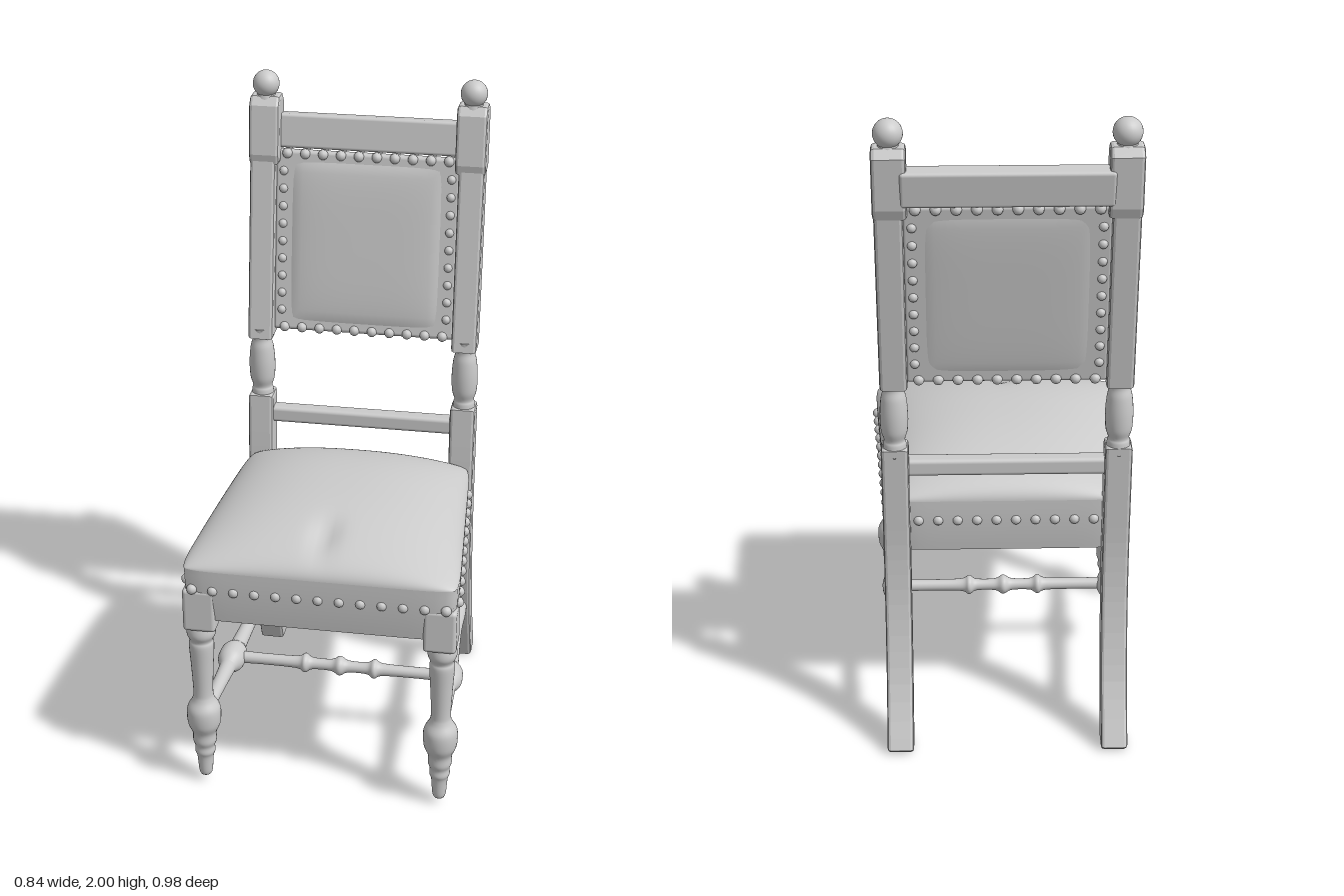
import * as THREE from 'three';
import { RoundedBoxGeometry } from 'three/addons/geometries/RoundedBoxGeometry.js';

const material = new THREE.MeshStandardMaterial({ color: 0xcccccc });
const leather = new THREE.MeshStandardMaterial({ color: 0xcccccc, side: THREE.DoubleSide });
const V = (x, y, z) => new THREE.Vector3(x, y, z);

function add(parent, name, geometry, x = 0, y = 0, z = 0, mat = material) {
  const mesh = new THREE.Mesh(geometry, mat);
  mesh.name = name;
  mesh.position.set(x, y, z);
  parent.add(mesh);
  return mesh;
}

// Smooth sheet: fn(u, v) gives the point, with u and v from -1 to 1
function sheet(fn, nu, nv) {
  const g = new THREE.PlaneGeometry(2, 2, nu, nv);
  const p = g.attributes.position;
  for (let i = 0; i < p.count; i++) p.setXYZ(i, ...fn(p.getX(i), p.getY(i)));
  g.computeVertexNormals();
  return g;
}

// Turned part from [radius, height] pairs, smoothed by a spline
function turned(points, smooth = 40) {
  const curve = new THREE.SplineCurve(points.map(([r, y]) => new THREE.Vector2(r, y)));
  const profile = curve.getPoints(smooth);
  const first = points[0], last = points[points.length - 1];
  return new THREE.LatheGeometry(
    [new THREE.Vector2(0, first[1]), ...profile, new THREE.Vector2(0, last[1])], 24);
}

// Turned rod lying between two points
function rod(parent, name, from, to, points) {
  const length = from.distanceTo(to);
  const mesh = add(parent, name, turned(points.map(([r, t]) => [r, t * length]), 80), from.x, from.y, from.z);
  mesh.quaternion.setFromUnitVectors(V(0, 1, 0), to.clone().sub(from).normalize());
}

// Side outline of [z, y] points given a width along x
function sideCut(shape, width) {
  const b = 0.01;
  const g = new THREE.ExtrudeGeometry(shape, {
    depth: width - 2 * b, bevelEnabled: true, bevelSize: b, bevelThickness: b,
    bevelOffset: -b, bevelSegments: 2, curveSegments: 16,
  });
  g.translate(0, 0, -width / 2 + b);
  return g.rotateY(Math.PI / 2);
}

function outline(points) {
  return new THREE.Shape(points.map(([z, y]) => new THREE.Vector2(-z, y)));
}

function nails(parent, from, to, count, radius = 0.016) {
  const g = new THREE.SphereGeometry(radius, 10, 8);
  for (let i = 0; i < count; i++) {
    const p = from.clone().lerp(to, count > 1 ? i / (count - 1) : 0);
    add(parent, 'nail', g, p.x, p.y, p.z);
  }
}

// Seat plan: narrower at the back, with eased corners
const halfWidth = z => 0.376 + 0.075 * z;
function plan(u, v, inset = 0) {
  const corner = 1 - 0.035 * Math.pow(Math.abs(u * v), 10);
  const z = 0.092 + (0.392 - inset) * v * corner;
  return [(halfWidth(z) - inset) * u * corner, z];
}

// Walk round the square plan, t from 0 to 1
function edge(t) {
  const s = (t * 4) % 4, side = Math.floor(s), f = (s - side) * 2 - 1;
  return [[f, 1], [1, -f], [-f, -1], [-1, f]][side];
}

function buildSeat(chair) {
  const seat = new THREE.Group();
  seat.name = 'seat';
  chair.add(seat);

  // Domed cushion with a small pull at the front middle
  const ease = a => Math.sin(a * Math.PI / 2);
  add(seat, 'cushion', sheet((a, b) => {
    const u = ease(a), v = -ease(b);
    const [x, z] = plan(u, v);
    const dome = Math.pow(Math.max(0, (1 - Math.abs(u) ** 2.3) * (1 - Math.abs(v) ** 2.3)), 0.55);
    const pull = 0.02 * Math.exp(-((x / 0.035) ** 2) - ((z - 0.36) / 0.07) ** 2);
    return [x, 0.77 + 0.123 * dome - pull, z];
  }, 56, 56), 0, 0, 0, leather);

  // Upholstered sides running down to the rails
  add(seat, 'seatSides', sheet((a, b) => {
    const [u, v] = edge((a + 1) / 2);
    const h = (b + 1) / 2;
    const [x, z] = plan(u, v, 0.012 * (1 - h) ** 2);
    return [x, 0.6 + 0.17 * h, z];
  }, 96, 8), 0, 0, 0, leather);

  // Sagging underside with two lobes
  add(seat, 'underside', sheet((u, v) => {
    const [x, z] = plan(u, v, 0.012);
    const sag = (1 - u ** 4) * (1 - v ** 4);
    const lobes = 0.03 + 0.014 * (1 - Math.cos(x * 20)) / 2 - 0.012 * Math.cos((z - 0.03) * 16);
    return [x, 0.6 - sag * lobes, z];
  }, 28, 28), 0, 0, 0, leather);

  // Nail rows
  const y = 0.705;
  nails(seat, V(-0.375, y, 0.477), V(0.375, y, 0.477), 13);
  nails(seat, V(-0.26, y, -0.294), V(0.26, y, -0.294), 10);
  for (const s of [-1, 1]) {
    nails(seat, V(s * (halfWidth(0.42) - 0.004), y, 0.42), V(s * (halfWidth(-0.24) - 0.004), y, -0.24), 12);
  }
}

function buildFrontLeg(chair, s) {
  const leg = new THREE.Group();
  leg.name = s > 0 ? 'leftFrontLeg' : 'rightFrontLeg';
  chair.add(leg);
  add(leg, 'legBlock', new RoundedBoxGeometry(0.098, 0.14, 0.096, 3, 0.012), s * 0.357, 0.63, 0.433);
  add(leg, 'turnedLeg', turned([
    [0.016, 0.025], [0.021, 0.04], [0.025, 0.09], [0.031, 0.11], [0.03, 0.13], [0.036, 0.15],
    [0.037, 0.18], [0.05, 0.215], [0.051, 0.265], [0.034, 0.3], [0.03, 0.33], [0.034, 0.42],
    [0.038, 0.49], [0.035, 0.51], [0.043, 0.53], [0.043, 0.55], [0.036, 0.58],
  ], 90), s * 0.362, 0, 0.433);
}

function buildBackPost(chair, s) {
  const post = new THREE.Group();
  post.name = s > 0 ? 'leftBackPost' : 'rightBackPost';
  chair.add(post);

  // Swept lower leg
  const front = [[-0.41, 0], [-0.335, 0.2], [-0.292, 0.4], [-0.276, 0.6], [-0.28, 0.8], [-0.29, 0.975]];
  const back = [[-0.37, 0.975], [-0.358, 0.8], [-0.348, 0.6], [-0.362, 0.4], [-0.408, 0.2], [-0.49, 0.015]];
  const curve = pts => new THREE.SplineCurve(pts.map(p => new THREE.Vector2(...p)))
    .getPoints(20).map(p => [p.x, p.y]);
  add(post, 'backLeg', sideCut(outline([...curve(front), ...curve(back), [-0.475, 0]]), 0.08), s * 0.324);

  // Turned neck above the seat
  add(post, 'turnedNeck', turned([
    [0.036, 0.95], [0.034, 0.985], [0.031, 1.0], [0.039, 1.03], [0.041, 1.08],
    [0.037, 1.13], [0.03, 1.16], [0.033, 1.18], [0.036, 1.2],
  ], 50), s * 0.324, 0, -0.333);

  // Leaning upper post, head block and ball
  add(post, 'upperPost', sideCut(outline([
    [-0.296, 1.17], [-0.385, 1.76], [-0.46, 1.76], [-0.374, 1.17],
  ]), 0.08), s * 0.322);
  add(post, 'headBlock', sideCut(outline([
    [-0.382, 1.72], [-0.376, 1.75], [-0.395, 1.9], [-0.415, 1.925], [-0.465, 1.925],
    [-0.483, 1.9], [-0.468, 1.75], [-0.456, 1.72],
  ]), 0.094), s * 0.318);
  add(post, 'finial', new THREE.SphereGeometry(0.041, 24, 18), s * 0.318, 1.959, -0.438);
  add(post, 'finialNeck', new THREE.CylinderGeometry(0.025, 0.032, 0.03, 20), s * 0.318, 1.925, -0.438);
}

function buildBackPanel(chair) {
  const panel = new THREE.Group();
  panel.name = 'backPanel';
  panel.position.set(0, 1.475, -0.388);
  panel.rotation.x = -0.148;
  chair.add(panel);
  add(panel, 'panelBoard', new RoundedBoxGeometry(0.575, 0.57, 0.036, 2, 0.012), 0, 0, 0);

  // Padded leather front and back
  for (const s of [-1, 1]) {
    add(panel, s > 0 ? 'frontPad' : 'backPad', sheet((u, v) => {
      const puff = Math.pow((1 - u ** 4) * (1 - v ** 4), 0.5);
      return [s * u * 0.24, v * 0.262, s * (0.014 + (s > 0 ? 0.016 : 0.01) * puff)];
    }, 24, 24), 0, 0, 0, leather);
    const z = s * 0.016;
    nails(panel, V(-0.25, -0.275, z), V(0.25, -0.275, z), 10);
    nails(panel, V(-0.25, 0.275, z), V(0.25, 0.275, z), 10);
    for (const x of [-0.26, 0.26]) nails(panel, V(x, -0.22, z), V(x, 0.22, z), 9, 0.014);
  }
  add(panel, 'topRail', new RoundedBoxGeometry(0.58, 0.105, 0.056, 3, 0.01), 0, 0.343, -0.012);
}

export function createModel() {
  const chair = new THREE.Group();
  chair.name = 'chair';
  buildSeat(chair);
  buildBackPanel(chair);

  for (const s of [-1, 1]) {
    buildFrontLeg(chair, s);
    buildBackPost(chair, s);
    rod(chair, 'sideStretcher', V(s * 0.362, 0.238, 0.433), V(s * 0.325, 0.238, -0.36), [
      [0.02, 0], [0.021, 0.15], [0.025, 0.32], [0.028, 0.35], [0.042, 0.39], [0.042, 0.45],
      [0.028, 0.49], [0.025, 0.52], [0.021, 0.75], [0.026, 0.9], [0.026, 1],
    ]);
  }

  // Cross stretcher with three beads
  rod(chair, 'crossStretcher', V(-0.345, 0.24, 0.1), V(0.345, 0.24, 0.1), [
    [0.02, 0], [0.018, 0.15], [0.02, 0.3], [0.031, 0.34], [0.019, 0.375], [0.019, 0.46],
    [0.031, 0.5], [0.019, 0.54], [0.019, 0.625], [0.031, 0.66], [0.02, 0.7], [0.018, 0.85], [0.02, 1],
  ]);

  // Low rail between the back posts
  add(chair, 'lowerBackRail', new RoundedBoxGeometry(0.6, 0.052, 0.05, 3, 0.012), 0, 0.907, -0.325);
  return chair;
}
